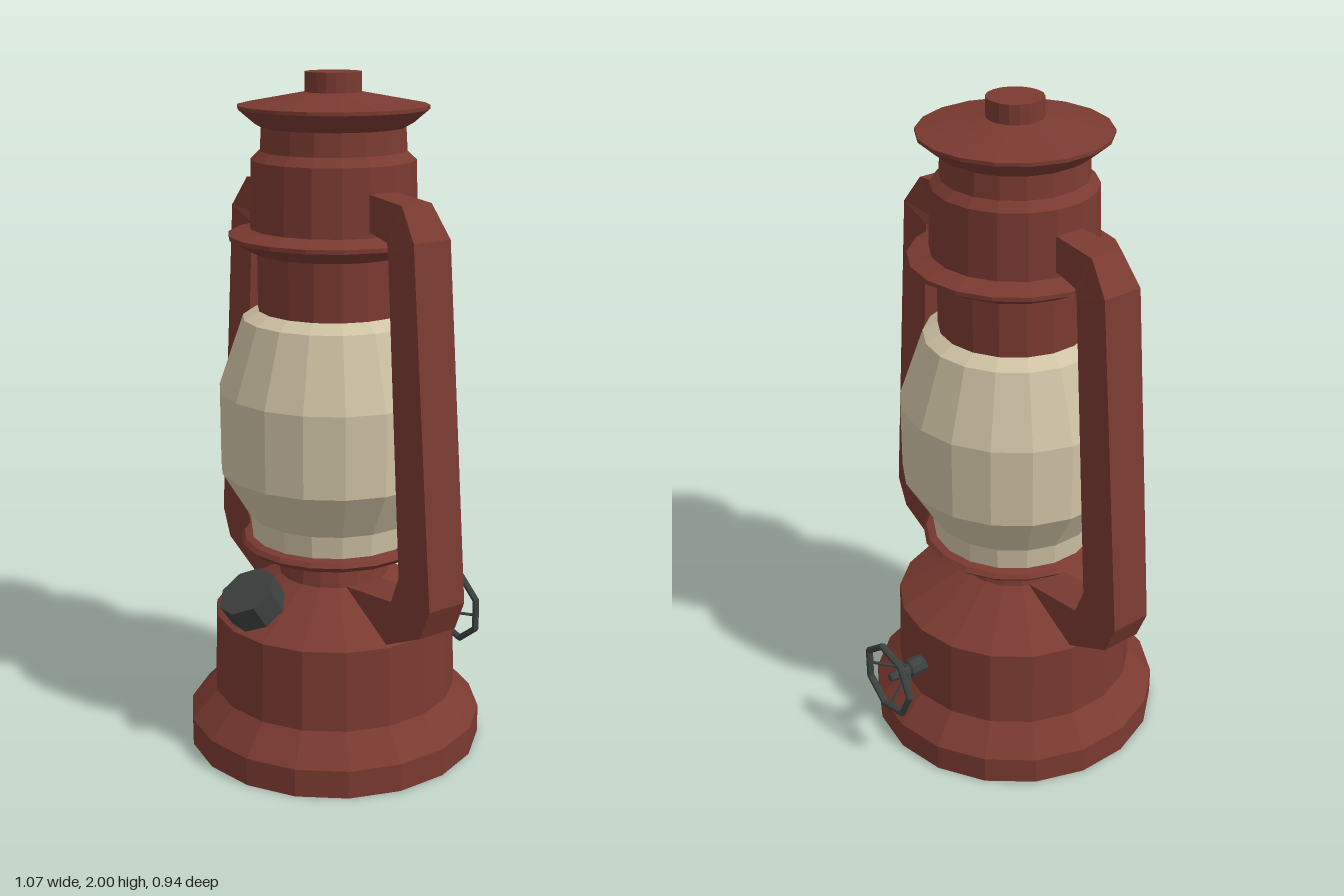
import * as THREE from 'three';

const mat = (name, color) => {
  const m = new THREE.MeshStandardMaterial({ color });
  m.name = name;
  return m;
};
const V = (x, y, z) => new THREE.Vector3(x, y, z);
const CZ = 0.025; // z of the lantern's axis

export function createModel() {
  const red = mat('red enamel', 0x7a3a31);
  const cream = mat('cream glass', 0xd0c3a5);
  const dark = mat('dark iron', 0x3c4140);
  const root = new THREE.Group();
  root.name = 'lantern';

  // Adds a faceted mesh to a parent
  const add = (name, geo, material, parent = root) => {
    const g = geo.index ? geo.toNonIndexed() : geo;
    g.computeVertexNormals();
    const mesh = new THREE.Mesh(g, material);
    mesh.name = name;
    parent.add(mesh);
    return mesh;
  };
  const turned = (name, profile, material) => {
    const pts = profile.map(([r, y]) => new THREE.Vector2(r, y));
    add(name, new THREE.LatheGeometry(pts, 18), material).position.z = CZ;
  };
  // Thin rod between two points
  const rod = (name, a, b, r, parent) => {
    const d = b.clone().sub(a);
    const m = add(name, new THREE.CylinderGeometry(r, r, d.length(), 5), dark, parent);
    m.position.copy(a).add(b).multiplyScalar(0.5);
    m.quaternion.setFromUnitVectors(V(0, 1, 0), d.normalize());
  };

  // Turned body parts
  turned('fuelTank', [
    [0, 0], [0.445, 0], [0.445, 0.085], [0.368, 0.17], [0.36, 0.412], [0.165, 0.53], [0.148, 0.615],
    [0.26, 0.617], [0.28, 0.635], [0.27, 0.648], [0.24, 0.655], [0, 0.655],
  ], red);
  turned('glassGlobe', [
    [0.2, 0.65], [0.247, 0.65], [0.254, 0.72], [0.337, 0.86], [0.337, 1.1], [0.264, 1.31], [0.22, 1.335], [0.18, 1.335],
  ], cream);
  turned('chimney', [
    [0, 1.32], [0.22, 1.32], [0.22, 1.5], [0.24, 1.505], [0.302, 1.54], [0.302, 1.552], [0.24, 1.57],
    [0.234, 1.76], [0.208, 1.785], [0.204, 1.85], [0.225, 1.862], [0.27, 1.9], [0.27, 1.91],
    [0.08, 1.945], [0.08, 2], [0, 2],
  ], red);

  // Side frames: outer x, y, inner x, y, half depth of each cross-section
  const sections = [
    [0.19, 1.692, 0.19, 1.595, 0.045],
    [0.378, 1.675, 0.315, 1.57, 0.05],
    [0.445, 1.585, 0.336, 1.545, 0.062],
    [0.535, 0.583, 0.397, 0.64, 0.062],
    [0.497, 0.493, 0.363, 0.557, 0.062],
    [0.31, 0.402, 0.13, 0.53, 0.062],
  ];
  const frameGeometry = () => {
    const pos = [];
    const idx = [];
    sections.forEach(([ox, oy, ix, iy, d], i) => {
      pos.push(ox, oy, d, ox, oy, -d, ix, iy, -d, ix, iy, d);
      if (i === 0) return;
      for (let k = 0; k < 4; k++) {
        const a = (i - 1) * 4 + k, b = (i - 1) * 4 + ((k + 1) % 4);
        idx.push(a, a + 4, b, b, a + 4, b + 4);
      }
    });
    const last = (sections.length - 1) * 4;
    idx.push(0, 1, 2, 0, 2, 3, last, last + 2, last + 1, last, last + 3, last + 2);
    const g = new THREE.BufferGeometry();
    g.setAttribute('position', new THREE.Float32BufferAttribute(pos, 3));
    g.setIndex(idx);
    return g;
  };
  ['leftFrame', 'rightFrame'].forEach((name, i) => {
    const m = add(name, frameGeometry(), red);
    m.position.z = CZ;
    m.rotation.y = i * Math.PI;
  });

  // Octagonal filler cap tilted on the shoulder
  const capGeo = new THREE.CylinderGeometry(0.091, 0.088, 0.09, 8);
  capGeo.rotateY(Math.PI / 8);
  const cap = add('fillerCap', capGeo, dark);
  cap.position.set(0, 0.491, 0.315);
  cap.rotation.x = 0.56;

  // Wick valve with a seven-sided wheel, built facing +z and turned to the back
  const valve = new THREE.Group();
  valve.name = 'wickValve';
  valve.position.set(0, 0.286, 0);
  valve.rotation.y = Math.PI;
  root.add(valve);
  const stemPts = [[0, 0.3], [0.03, 0.3], [0.028, 0.385], [0.019, 0.39], [0.019, 0.41], [0.012, 0.455], [0, 0.458]];
  const stem = new THREE.LatheGeometry(stemPts.map(([r, y]) => new THREE.Vector2(r, y)), 8);
  stem.rotateX(Math.PI / 2);
  add('valveStem', stem, dark, valve);
  add('valveWheel', new THREE.TorusGeometry(0.111, 0.011, 6, 7), dark, valve).position.z = 0.461;
  for (let i = 0; i < 4; i++) {
    const c = Math.cos(i * Math.PI / 2), s = Math.sin(i * Math.PI / 2);
    rod('wheelSpoke', V(c * 0.015, s * 0.015, 0.395), V(c * 0.105, s * 0.105, 0.46), 0.005, valve);
  }
  return root;
}
